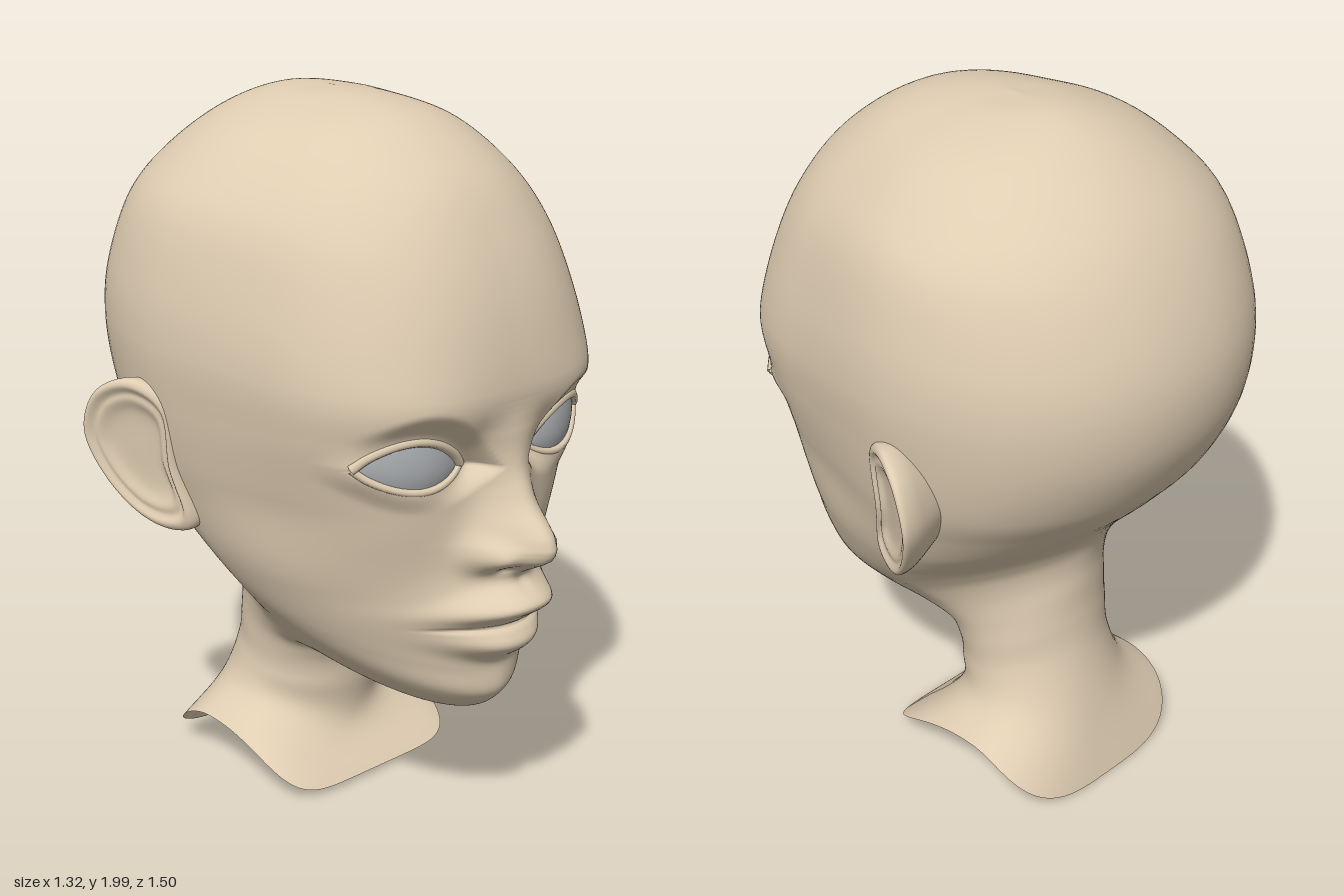
import * as THREE from 'three';

const V = (x, y, z) => new THREE.Vector3(x, y, z);
const spline = (pts, closed = false) =>
  new THREE.CatmullRomCurve3(pts.map(p => V(...p)), closed, 'catmullrom', 0.5);
const { smoothstep, lerp } = THREE.MathUtils;

// Smooth closed tube of rows; point(i, j) gives each corner
function loft(rows, cols, point, flip = false) {
  const pos = [], idx = [];
  for (let i = 0; i <= rows; i++)
    for (let j = 0; j < cols; j++) pos.push(...point(i, j).toArray());
  for (let i = 0; i < rows; i++)
    for (let j = 0; j < cols; j++) {
      const k = (j + 1) % cols;
      const a = i * cols + j, b = a + cols, c = (i + 1) * cols + k, d = i * cols + k;
      idx.push(...(flip ? [a, d, b, b, d, c] : [a, b, d, b, c, d]));
    }
  const g = new THREE.BufferGeometry();
  g.setAttribute('position', new THREE.Float32BufferAttribute(pos, 3));
  g.setIndex(idx);
  g.computeVertexNormals();
  return g;
}

// Guide lines from crown to neck rim: front [x,y,z], side, back, and roundness [front, back]
const FRONT = spline([
  [0, 2, -.1], [0, 1.99, .06], [0, 1.94, .25], [0, 1.82, .42], [0, 1.67, .52], [0, 1.5, .587], [0, 1.31, .622],
  [0, 1.2, .605], [0, 1.08, .575], [0, .93, .57], [0, .8, .57], [0, .66, .57], [0, .52, .572], [0, .43, .565],
  [0, .363, .46], [0, .395, .28], [0, .44, .1], [0, .38, .03], [0, .28, .01], [0, .14, .005], [0, .025, .105]]);
const SIDE = spline([
  [0, 2, -.1], [.14, 1.983, -.1], [.31, 1.917, -.1], [.435, 1.815, -.12], [.52, 1.7, -.14], [.568, 1.52, -.15],
  [.58, 1.36, -.15], [.563, 1.2, -.15], [.535, 1.05, -.14], [.5, .93, -.12], [.465, .82, -.09], [.43, .74, -.06],
  [.39, .67, -.03], [.345, .61, -.02], [.298, .565, -.05], [.256, .52, -.1], [.23, .47, -.15], [.22, .41, -.18],
  [.22, .33, -.2], [.25, .24, -.23], [.335, .165, -.28]]);
const BACK = spline([
  [0, 2, -.1], [0, 1.997, -.26], [0, 1.945, -.4], [0, 1.835, -.545], [0, 1.71, -.645], [0, 1.55, -.72],
  [0, 1.4, -.75], [0, 1.24, -.73], [0, 1.08, -.655], [0, .97, -.57], [0, .9, -.505], [0, .85, -.46],
  [0, .81, -.43], [0, .77, -.408], [0, .73, -.395], [0, .68, -.387], [0, .62, -.385], [0, .52, -.385],
  [0, .39, -.4], [0, .2, -.45], [0, .01, -.51]]);
const ROUND = spline([
  [2, 2, 0], [2, 2, 0], [2.1, 2.05, 0], [2.2, 2.1, 0], [2.4, 2.1, 0], [2.6, 2.1, 0], [2.9, 2.1, 0],
  [3, 2.1, 0], [2.85, 2.1, 0], [2.5, 2, 0], [2.2, 1.9, 0], [2, 1.8, 0], [1.85, 1.75, 0], [1.75, 1.75, 0],
  [1.7, 1.75, 0], [1.8, 1.8, 0], [1.9, 1.9, 0], [2, 2, 0], [2, 2, 0], [2.3, 2.3, 0], [6, 3.5, 0]]);

// Eye opening: lens shape on a curved surface, given for the +x side
const EYE = { x: .27, half: .144, up: .066, down: .05 };
const eyeMid = x => 1.11 + .1 * (x - .13);
const eyeZ = x => .535 - 2.1 * (x - .2) ** 2;
const lidY = (u, v) => {
  const x = EYE.x + EYE.half * u;
  return eyeMid(x) + (v > 0 ? EYE.up : EYE.down) * Math.max(0, 1 - u * u) ** .85 * v;
};

// Nose ridge by height: [0, height y, projection z] and its half width
const NOSE = [[1.26, 0], [1.16, .028], [1.08, .058], [1, .1], [.94, .162], [.915, .174], [.88, .174],
  [.85, .135], [.825, .07], [.8, .03], [.76, 0]];
const NOSE_WIDTH = [[1.2, .08], [1.05, .075], [.9, .095], [.8, .09]];

// Look-up in [key, value] pairs with falling keys
function ramp(pts, k) {
  if (k >= pts[0][0]) return pts[0][1];
  for (let i = 1; i < pts.length; i++)
    if (k >= pts[i][0])
      return lerp(pts[i][1], pts[i - 1][1], (k - pts[i][0]) / (pts[i - 1][0] - pts[i][0]));
  return pts[pts.length - 1][1];
}
// Averaging three look-ups rounds the corners of the ridge
const noseRidge = y => (ramp(NOSE, y - .015) + ramp(NOSE, y) + ramp(NOSE, y + .015)) / 3;

// Bumps and hollows on the front: [x, y, x spread, y spread, height, x falloff power]
const FEATURES = [
  [.105, .872, .04, .042, .055, 2],     // nostril wing
  [.055, .832, .025, .014, -.018, 2],   // nostril
  [.3, 1.29, .14, .07, .006, 2],        // brow
  [.12, 1.16, .045, .06, -.01, 2],      // inner eye hollow
  [.36, .95, .12, .1, .01, 2],          // cheek
];
const MOUTH = [
  [0, .7, .23, .14, .055, 2],           // mouth mound
  [0, .732, .17, .046, .08, 3],         // upper lip
  [0, .605, .155, .044, .048, 3],       // lower lip
  [0, .661, .2, .009, -.014, 6],        // mouth line
  [0, .54, .12, .03, -.008, 2],         // hollow under the lip
  [0, .79, .022, .03, -.008, 2],        // groove above the lip
];
const bumps = (list, x, y) => list.reduce((sum, [cx, cy, sx, sy, h, n]) =>
  sum + h * Math.exp(-(Math.abs((x - cx) / sx) ** n) - ((y - cy) / sy) ** 2), 0);

function shapeFace(p) {
  const w = smoothstep(p.z, .05, .3) * smoothstep(p.y, .36, .45);
  if (w === 0) return p;
  const x = Math.abs(p.x), y = p.y;
  // The lips close in on the mouth line towards their corners
  const lipY = .66 + (y - .66) * (1 + 14 * x * x);
  p.z += w * (noseRidge(y) * Math.exp(-((x / ramp(NOSE_WIDTH, y)) ** 2)) +
    bumps(FEATURES, x, y) + bumps(MOUTH, x, lipY));
  // Lids wrap the eye, with a pocket behind the opening
  const u = (x - EYE.x) / EYE.half, v = y - eyeMid(x);
  const f = Math.abs(v) / (v > 0 ? EYE.up : EYE.down) + u * u;
  const lid = (1 - smoothstep(f, 1.1, 2.5)) * (1 - smoothstep(x, .4, .47));
  p.z = lerp(p.z, eyeZ(x) + .01, lid * w);
  p.z -= .05 * (1 - smoothstep(f, .8, 1.05)) * w;
  return p;
}

function headGeometry() {
  // Rows are packed closely over the face
  const last = 20, ts = [];
  for (let s = 0; s < last; s++) {
    const n = s >= 6 && s < 14 ? 26 : 8;
    for (let k = 0; k < n; k++) ts.push((s + k / n) / last);
  }
  ts.push(1);
  const rings = ts.map(t => [FRONT, SIDE, BACK, ROUND].map(c => c.getPoint(t)));
  const cols = 168;
  return loft(ts.length - 1, cols, (i, j) => {
    const [f, s, b, n] = rings[i];
    const q = 2 * j / cols - 1, a = Math.PI * (.45 * q + .55 * q ** 3);
    const sn = Math.sin(a), cs = Math.cos(a), e = cs > 0 ? n.x : n.y;
    const r = (Math.abs(sn) ** e + Math.abs(cs) ** e) ** (-1 / e), c = cs * r;
    const y = s.y + (f.y - b.y) / 2 * c + ((f.y + b.y) / 2 - s.y) * c * c;
    const z = s.z + (cs > 0 ? f.z - s.z : s.z - b.z) * c;
    // Temples taper towards the face
    const taper = 1 - .065 * smoothstep(c, -.05, .5) * smoothstep(y, .75, 1);
    return shapeFace(V(s.x * sn * r * taper, y, z));
  });
}

// Ear: outline in the side plane, and a radial section [scale, offset] from bowl to rim to back
const EAR_LINE = spline([[0, 1.2, -.135], [0, 1.265, -.23], [0, 1.22, -.335], [0, 1.1, -.38],
  [0, .97, -.335], [0, .87, -.25], [0, .835, -.16], [0, .87, -.1], [0, 1.02, -.13]], true);
const EAR_SECTION = spline([[0, -.012, 0], [.35, -.012, 0], [.55, -.008, 0], [.7, .004, 0], [.8, .003, 0],
  [.9, .014, 0], [.98, .006, 0], [1, -.014, 0], [.97, -.045, 0], [.88, -.08, 0], [.7, -.14, 0]]);

function earGeometry(side) {
  const rows = 40, cols = 64;
  return loft(rows, cols, (i, j) => {
    const o = EAR_LINE.getPoint(j / cols), s = EAR_SECTION.getPoint(i / rows);
    const y = lerp(1.06, o.y, s.x), z = lerp(-.24, o.z, s.x);
    const x = .535 + .45 * (-z - .15) + .1 * (y - 1) + s.y;
    return V(side * x, y, z);
  }, side > 0);
}

function eyeGeometry(side) {
  const g = new THREE.PlaneGeometry(2, 2, 24, 10), p = g.attributes.position;
  for (let i = 0; i < p.count; i++) {
    const u = p.getX(i) * side, v = p.getY(i), x = EYE.x + EYE.half * u;
    p.setXYZ(i, side * x, lidY(u, v), eyeZ(x) + .008 * (1 - u * u) * (1 - v * v));
  }
  g.computeVertexNormals();
  return g;
}

function lidGeometry(side, v, radius) {
  const pts = [];
  for (let i = 0; i <= 12; i++) {
    const u = i / 6 - 1, x = EYE.x + EYE.half * u * 1.03;
    pts.push([side * x, lidY(u, v), eyeZ(x) + .003]);
  }
  return new THREE.TubeGeometry(spline(pts), 32, radius, 8);
}

export function createModel() {
  const skin = new THREE.MeshStandardMaterial({ color: 0xdfcdb2, side: THREE.DoubleSide });
  skin.name = 'skin';
  const eyeGrey = new THREE.MeshStandardMaterial({ color: 0xabaeb1 });
  eyeGrey.name = 'eyeGrey';

  const group = new THREE.Group();
  group.name = 'headBust';
  const add = (name, geometry, material) => {
    const m = new THREE.Mesh(geometry, material);
    m.name = name;
    group.add(m);
  };
  add('headAndNeck', headGeometry(), skin);
  for (const [label, side] of [['left', 1], ['right', -1]]) {
    add(label + 'Ear', earGeometry(side), skin);
    add(label + 'Eye', eyeGeometry(side), eyeGrey);
    add(label + 'UpperLid', lidGeometry(side, 1.18, .014), skin);
    add(label + 'LowerLid', lidGeometry(side, -1.18, .01), skin);
  }
  return group;
}
